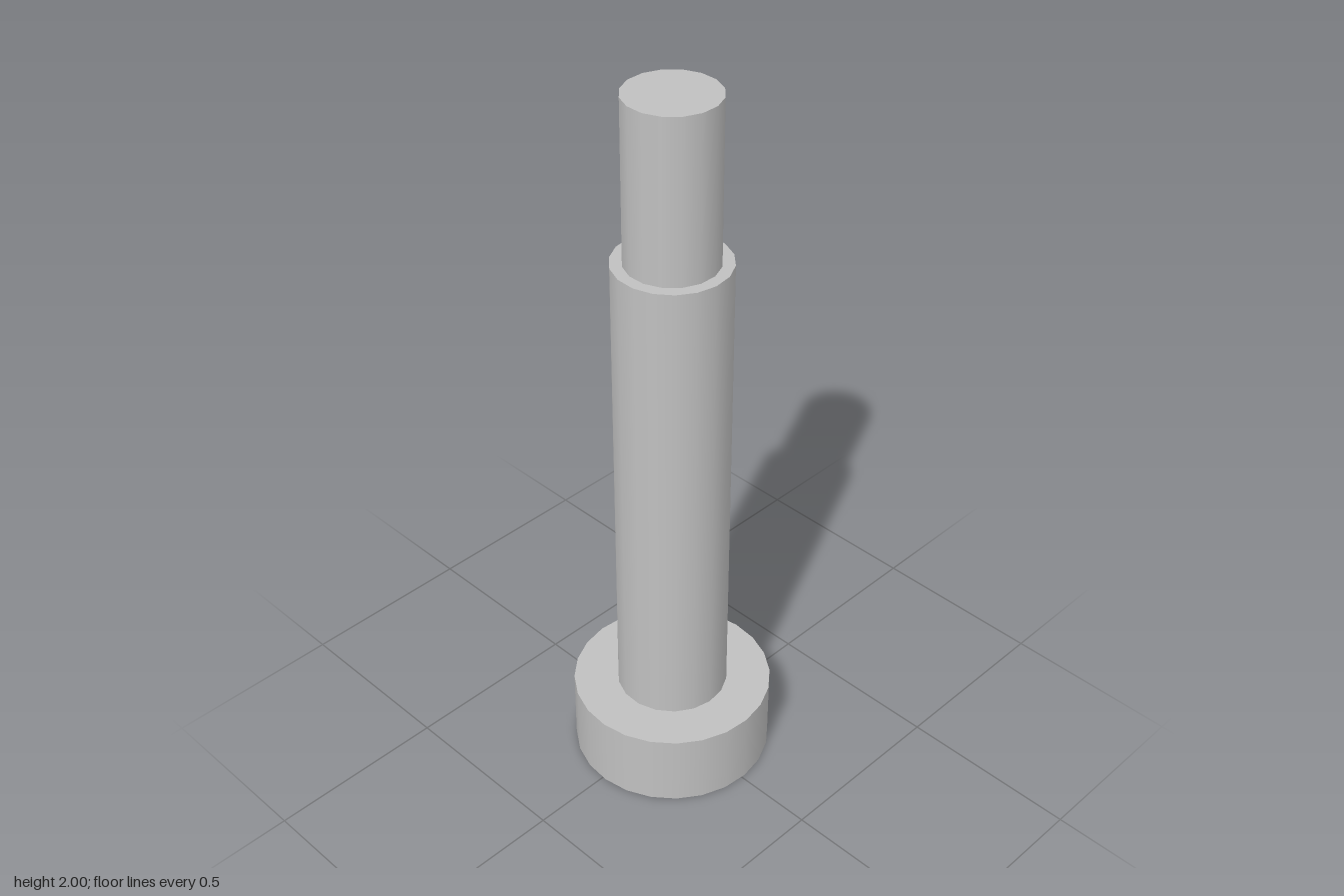
import * as THREE from 'three';

// Stepped shoulder pin: wide head at the bottom, shaft, narrower tip.
export function createModel() {
  const model = new THREE.Group();
  model.name = 'shoulderPin';
  const metal = new THREE.MeshStandardMaterial({ color: 0xc0c0c0 });
  metal.name = 'plain grey metal';

  // Solid round section between two heights, turned by a start angle in degrees
  function section(name, radius, bottom, top, sides, turn) {
    const start = THREE.MathUtils.degToRad(turn);
    const geometry = new THREE.CylinderGeometry(radius, radius, top - bottom, sides, 1, false, start);
    const mesh = new THREE.Mesh(geometry, metal);
    mesh.name = name;
    mesh.position.y = (bottom + top) / 2;
    model.add(mesh);
  }

  section('head', 0.275, 0, 0.215, 24, 2.4);
  section('shaft', 0.153, 0.215, 1.56, 18, -2.3);
  section('tip', 0.122, 1.56, 2, 16, 11.25);

  return model;
}
